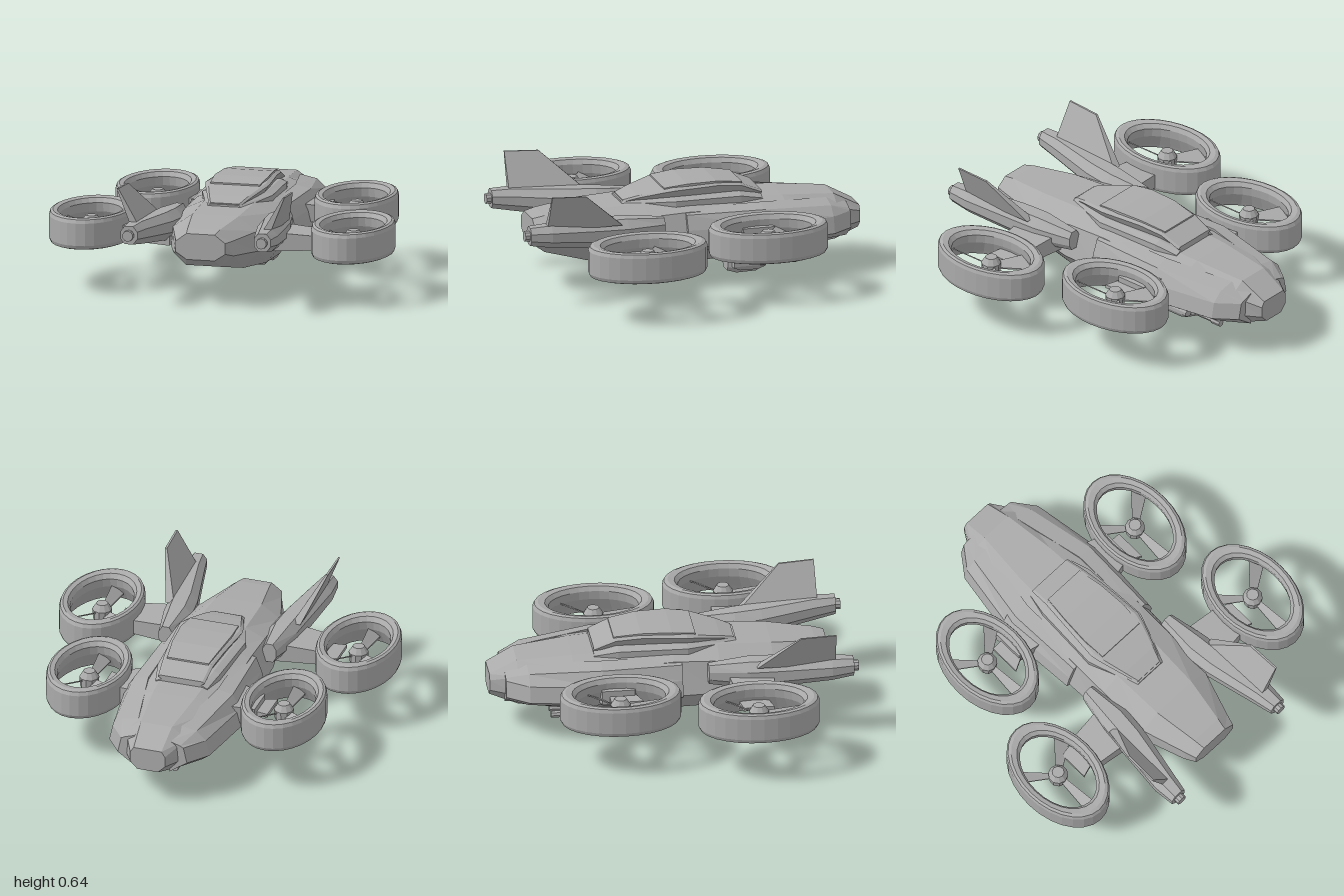
import * as THREE from 'three';

const grey = new THREE.MeshStandardMaterial({ color: 0xaaaaaa, flatShading: true });
grey.name = 'hullGrey';

export function createModel() {
  const model = new THREE.Group();
  model.name = 'ductedFanGunship';

  const add = (name, geometry, parent = model) => {
    const mesh = new THREE.Mesh(geometry, grey);
    mesh.name = name;
    parent.add(mesh);
    return mesh;
  };

  // Loft through cross-sections [z, [[x, y], ...]] given in rising z, with closed ends
  const loft = (sections) => {
    const ring = sections[0][1];
    let area = 0;
    ring.forEach(([x, y], i) => {
      const [u, v] = ring[(i + 1) % ring.length];
      area += x * v - u * y;
    });
    const rings = sections.map(([z, pts]) => {
      const r = pts.map(([x, y]) => [x, y, z]);
      return area < 0 ? r.reverse() : r;
    });
    const n = ring.length, out = [];
    const tri = (...corners) => corners.forEach((c) => out.push(...c));
    for (let i = 0; i < rings.length - 1; i++) {
      for (let j = 0; j < n; j++) {
        const k = (j + 1) % n, a = rings[i], b = rings[i + 1];
        tri(a[j], a[k], b[k]);
        tri(a[j], b[k], b[j]);
      }
    }
    const first = rings[0], last = rings[rings.length - 1];
    for (let j = 1; j < n - 1; j++) {
      tri(first[0], first[j + 1], first[j]);
      tri(last[0], last[j], last[j + 1]);
    }
    const g = new THREE.BufferGeometry();
    g.setAttribute('position', new THREE.Float32BufferAttribute(out, 3));
    g.computeVertexNormals();
    return g;
  };
  // Complete a half section (x > 0, top to bottom) with its mirror image
  const mirror = (half) => [...half, ...half.map(([x, y]) => [-x, y]).reverse()];
  const box = (x, y, z, w, h, d) => new THREE.BoxGeometry(w, h, d).translate(x, y, z);

  // Main fuselage
  add('fuselage', loft([
    [-1, [[0.08, 0.34], [0.10, 0.31], [0.10, 0.25], [0.06, 0.21]]],
    [-0.85, [[0.09, 0.42], [0.18, 0.36], [0.19, 0.25], [0.12, 0.17]]],
    [-0.55, [[0.12, 0.445], [0.25, 0.40], [0.28, 0.26], [0.18, 0.15]]],
    [0, [[0.14, 0.47], [0.25, 0.43], [0.31, 0.25], [0.22, 0.14]]],
    [0.25, [[0.14, 0.47], [0.25, 0.42], [0.30, 0.25], [0.21, 0.14]]],
    [0.55, [[0.13, 0.455], [0.24, 0.38], [0.25, 0.27], [0.16, 0.17]]],
    [0.8, [[0.09, 0.43], [0.16, 0.37], [0.17, 0.29], [0.10, 0.225]]],
    [0.865, [[0.08, 0.415], [0.14, 0.37], [0.14, 0.31], [0.08, 0.27]]],
  ].map(([z, half]) => [z, mirror(half)])));

  // Stacked canopy: base tray, overhanging cabin, roof slab
  add('canopyBase', loft([[-0.43, 0.15, 0.46], [-0.3, 0.18, 0.49], [0.08, 0.2, 0.495], [0.36, 0.1, 0.475]]
    .map(([z, w, y]) => [z, mirror([[w * 0.8, y], [w, y - 0.015], [w, 0.42]])])));
  add('canopy', loft([
    [-0.43, 0.135, 0.485], [-0.31, 0.145, 0.535], [-0.17, 0.16, 0.55], [0.08, 0.18, 0.545],
    [0.14, 0.165, 0.535], [0.27, 0.12, 0.505], [0.35, 0.09, 0.48],
  ].map(([z, w, y]) => [z, mirror([[w * 0.9, y], [w, y - 0.01], [w * 0.7, 0.45]])])));
  add('canopyRoof', loft([[-0.32, 0.12, 0.54], [-0.17, 0.14, 0.56], [0, 0.15, 0.56], [0.13, 0.14, 0.545]]
    .map(([z, w, y]) => [z, mirror([[w, y], [w, y - 0.025]])])));

  // Belly plate with cross ribs
  add('bellyPlate', loft([[-0.2, 0.14, 0.135], [-0.1, 0.17, 0.125], [0.25, 0.17, 0.125], [0.53, 0.11, 0.165]]
    .map(([z, w, y]) => [z, mirror([[w, y + 0.03], [w - 0.02, y]])])));
  for (const z of [-0.08, 0.04, 0.16]) add('bellyRib', box(0, 0.124, z, 0.2, 0.012, 0.04));

  // Elliptical ducted fan
  const ductProfile = [
    [0.92, 0.255], [0.97, 0.26], [1, 0.28], [1, 0.405], [0.97, 0.425], [0.91, 0.432], [0.8, 0.425],
    [0.74, 0.40], [0.76, 0.35], [0.88, 0.28], [0.92, 0.255],
  ].map(([r, y]) => new THREE.Vector2(r, y));
  const addFan = (name, x, z) => {
    const fan = new THREE.Group();
    fan.name = name;
    fan.position.set(x, 0, z);
    model.add(fan);
    add('duct', new THREE.LatheGeometry(ductProfile, 28).scale(0.223, 1, 0.335), fan);
    add('hub', new THREE.CylinderGeometry(0.055, 0.05, 0.06, 10).translate(0, 0.32, 0), fan);
    add('hubCap', new THREE.CylinderGeometry(0.033, 0.055, 0.035, 10).translate(0, 0.3675, 0), fan);
    add('hubTail', new THREE.CylinderGeometry(0.05, 0.03, 0.03, 10).translate(0, 0.275, 0), fan);
    for (let i = 0; i < 3; i++) {
      const blade = loft([[0.1, 0.06, 0.01], [0.8, 0.14, 0.025]].map(([r, w, t]) => [r, [
        [-w, 0.325 - t], [w, 0.325 + t], [w, 0.333 + t], [-w, 0.333 - t]]]));
      add('blade', blade.rotateY(i * Math.PI * 2 / 3).scale(0.223, 1, 0.335), fan);
    }
  };

  for (const s of [1, -1]) {
    const side = s > 0 ? 'left' : 'right';
    const flip = (pts) => pts.map(([x, y]) => [s * x, y]);

    addFan(side + 'NoseFan', s * 0.563, -0.34);
    addFan(side + 'TailFan', s * 0.742, 0.4);

    // Side armour
    add(side + 'Armour', loft([
      [-0.92, 0.1, 0.2, 0.37], [-0.8, 0.12, 0.29, 0.41], [-0.4, 0.2, 0.355, 0.44], [0.04, 0.2, 0.325, 0.44],
    ].map(([z, a, b, y]) => [z, flip([
      [a, y], [(a + b) / 2 + 0.01, y - 0.02], [b - 0.02, 0.34], [b, 0.25], [b - 0.05, 0.215], [a, 0.18]])])));

    // Wing stubs that carry the fans
    const stub = (name, x0, x1, pts) => {
      const g = loft([[x0, pts[0]], [x1, pts[1]]]).rotateY(Math.PI / 2);
      const mesh = add(side + name, g);
      if (s < 0) {
        // mirror in x and restore the corner order
        g.scale(-1, 1, 1);
        const p = g.attributes.position, a = new THREE.Vector3(), b = new THREE.Vector3();
        for (let i = 0; i < p.count; i += 3) {
          a.fromBufferAttribute(p, i);
          b.fromBufferAttribute(p, i + 1);
          p.setXYZ(i, b.x, b.y, b.z);
          p.setXYZ(i + 1, a.x, a.y, a.z);
        }
        g.computeVertexNormals();
      }
      return mesh;
    };
    const slab = (z0, z1, y0, y1) => [[-z0, y0], [-z1, y0], [-z1, y1], [-z0, y1]];
    stub('TailStub', 0.26, 0.56, [slab(0.28, 0.55, 0.27, 0.38), slab(0.31, 0.51, 0.28, 0.36)]);
    stub('TailStubFin', 0.54, 0.64, [slab(0.31, 0.47, 0.3, 0.33), slab(0.33, 0.5, 0.3, 0.32)]);
    stub('NoseStub', 0.28, 0.42, [slab(-0.46, -0.2, 0.27, 0.38), slab(-0.42, -0.24, 0.28, 0.36)]);
    stub('NoseStubFin', 0.4, 0.48, [slab(-0.38, -0.24, 0.3, 0.33), slab(-0.38, -0.2, 0.3, 0.32)]);

    // Tail boom: centre x, half width, bottom and top at each z
    add(side + 'Boom', loft([
      [0.18, 0.3, 0.04, 0.32, 0.43], [0.4, 0.305, 0.08, 0.29, 0.45], [0.55, 0.32, 0.08, 0.3, 0.455],
      [0.85, 0.37, 0.065, 0.34, 0.465], [0.97, 0.378, 0.048, 0.36, 0.46],
    ].map(([z, c, w, y0, y1]) => {
      const m = (y1 - y0) * 0.3;
      return [z, flip([[c - w / 2, y1], [c + w / 2, y1], [c + w, y1 - m], [c + w, y0 + m],
        [c + w / 2, y0], [c - w / 2, y0], [c - w, y0 + m], [c - w, y1 - m]])];
    })));
    add(side + 'BoomNozzle', new THREE.CylinderGeometry(0.03, 0.03, 0.04, 10)
      .rotateX(Math.PI / 2).translate(s * 0.378, 0.41, 0.978));

    // Tail fin, leaning outward as it rises
    const fin = new THREE.Shape([[0.44, 0.43], [0.87, 0.43], [0.865, 0.645], [0.67, 0.635]]
      .map(([z, y]) => new THREE.Vector2(-z, y)));
    const finGeo = new THREE.ExtrudeGeometry(fin, { depth: 0.05, bevelEnabled: false })
      .translate(0, 0, -0.025).rotateY(Math.PI / 2);
    const p = finGeo.attributes.position;
    for (let i = 0; i < p.count; i++) {
      const t = (p.getY(i) - 0.43) / 0.215;
      p.setX(i, p.getX(i) * (1 - 0.8 * t) + s * (0.365 + 0.105 * t));
    }
    finGeo.computeVertexNormals();
    add(side + 'Fin', finGeo);

    // Twin gun barrels and side pods of the chin turret
    add(side + 'GunPod', loft([[-0.46, 0.02], [-0.42, 0.035], [-0.32, 0.035], [-0.28, 0.02]]
      .map(([z, h]) => [z, flip([[0.065, 0.06 - h], [0.095, 0.06 - h], [0.11, 0.05], [0.11, 0.07],
        [0.095, 0.06 + h], [0.065, 0.06 + h]])])));
    const barrel = (r, len, z) => new THREE.CylinderGeometry(r, r, len, 8)
      .rotateX(Math.PI / 2).translate(s * 0.04, 0.05, z);
    add(side + 'Barrel', barrel(0.014, 0.2, -0.55));
    add(side + 'Muzzle', barrel(0.02, 0.06, -0.625));
  }

  // Chin turret
  add('turretRing', new THREE.CylinderGeometry(0.12, 0.1, 0.03, 16).translate(0, 0.135, -0.36));
  add('turretNeck', new THREE.CylinderGeometry(0.08, 0.1, 0.04, 12).translate(0, 0.105, -0.36));
  add('turretBody', loft([[-0.47, 0.045, 0.025], [-0.42, 0.07, 0.045], [-0.31, 0.07, 0.048], [-0.26, 0.05, 0.035]]
    .map(([z, w, h]) => [z, mirror([[w * 0.7, 0.052 + h], [w, 0.052 + h * 0.5], [w, 0.052 - h * 0.5], [w * 0.7, 0.048 - h]])])));

  return model;
}
